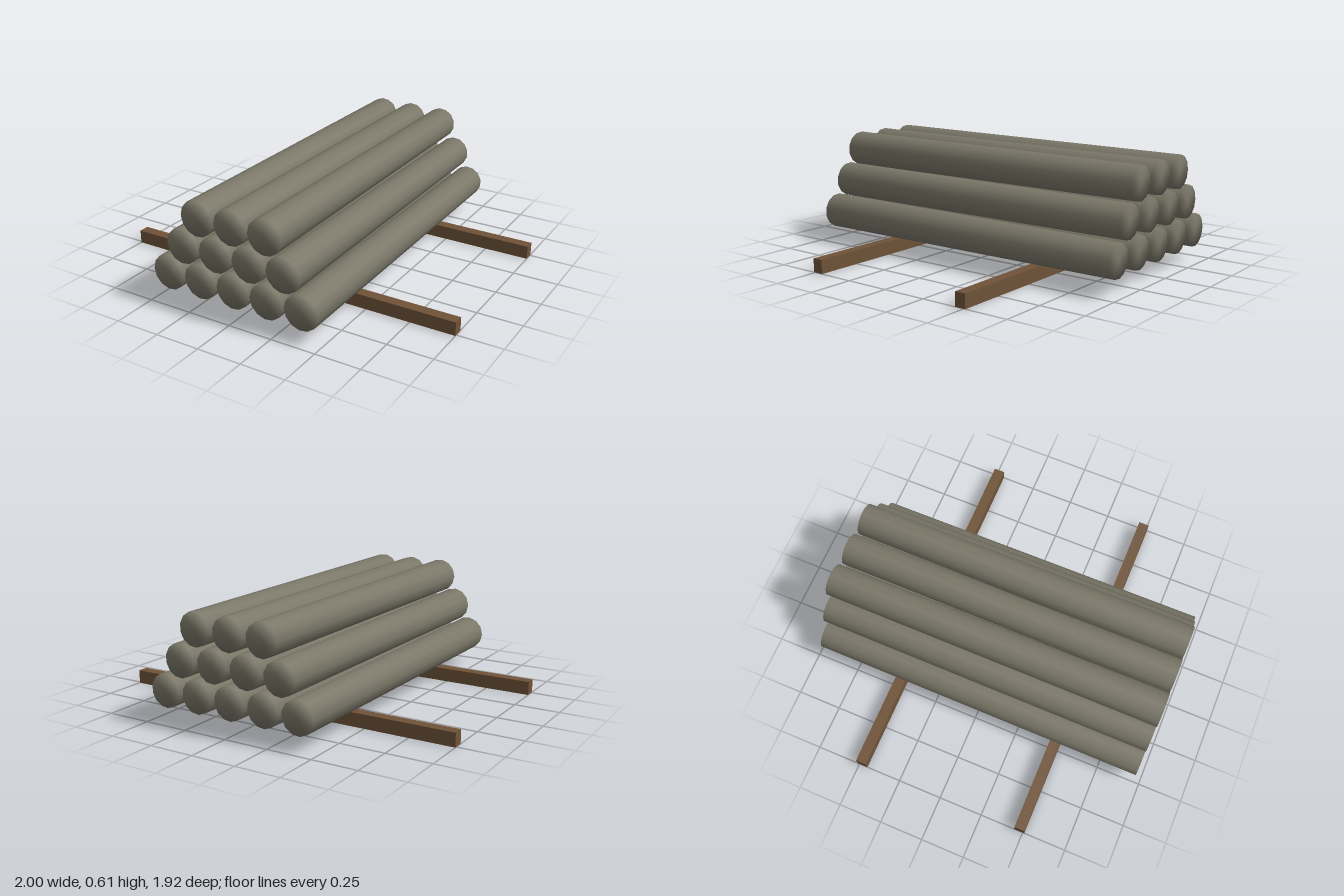
import * as THREE from 'three';
import { mergeVertices } from 'three/addons/utils/BufferGeometryUtils.js';

// Tapered log along z, wider at the front, with normals shared by side and caps
function logGeometry() {
  const g = new THREE.CylinderGeometry(0.0975, 0.091, 1.92, 13, 1, false, -Math.PI / 2);
  g.rotateX(Math.PI / 2);
  g.deleteAttribute('normal');
  g.deleteAttribute('uv');
  const merged = mergeVertices(g, 1e-4);
  merged.computeVertexNormals();
  return merged;
}

export function createModel() {
  const model = new THREE.Group();
  model.name = 'logPile';
  const bark = new THREE.MeshStandardMaterial({ color: 0x7a7768 });
  const timber = new THREE.MeshStandardMaterial({ color: 0x6f5338 });

  // Two bearer beams on the ground
  const beamGeo = new THREE.BoxGeometry(2, 0.075, 0.06);
  for (const side of [1, -1]) {
    const beam = new THREE.Mesh(beamGeo, timber);
    beam.name = side > 0 ? 'frontBeam' : 'backBeam';
    beam.position.set(0, 0.0375, side * 0.48);
    model.add(beam);
  }

  // Stacked rows of five, four and three logs
  const logGeo = logGeometry();
  [5, 4, 3].forEach((count, row) => {
    const layer = new THREE.Group();
    layer.name = 'logRow' + (row + 1);
    layer.position.y = 0.171 + row * 0.173;
    for (let i = 0; i < count; i++) {
      const log = new THREE.Mesh(logGeo, bark);
      log.name = 'log';
      log.position.x = (i - (count - 1) / 2) * 0.2;
      layer.add(log);
    }
    model.add(layer);
  });
  return model;
}
